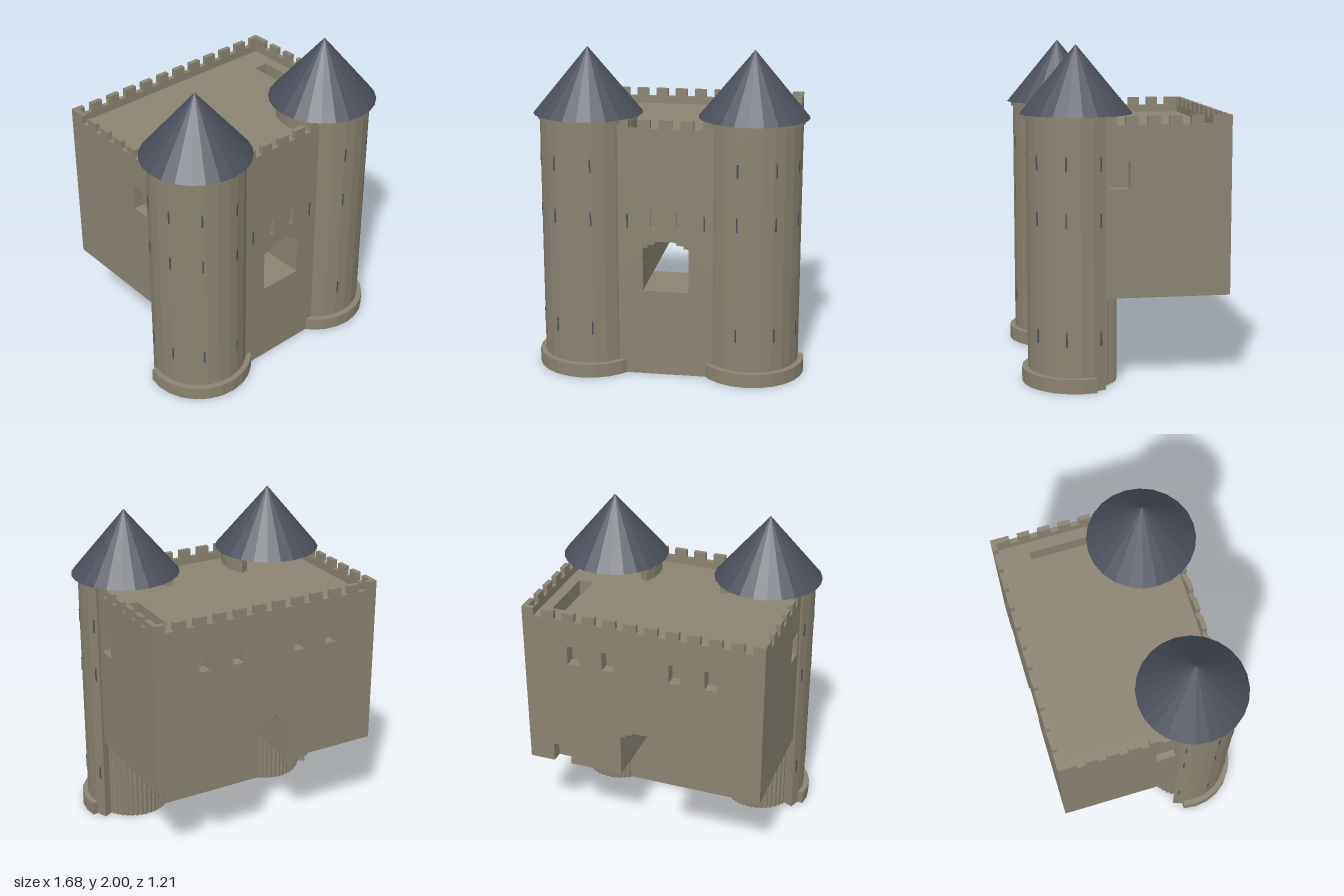
import * as THREE from 'three';

const stone = new THREE.MeshStandardMaterial({ color: 0x8b8372 });
stone.name = 'stone';
const slate = new THREE.MeshStandardMaterial({ color: 0x4a4f5b });
slate.name = 'slate';

// Main levels and tower placement
const FLOOR = 0.54, DECK = 1.5, TOP = 1.6;
const TX = 0.505, TZ = 0.27, R = 0.295, INNER = 0.24;
const rad = THREE.MathUtils.degToRad;

function add(parent, name, geometry, material, x = 0, y = 0, z = 0) {
  const mesh = new THREE.Mesh(geometry, material);
  mesh.name = name;
  mesh.position.set(x, y, z);
  parent.add(mesh);
  return mesh;
}

const polygon = (pts) => new THREE.Shape(pts.map(([x, y]) => new THREE.Vector2(x, y)));
const extrude = (shape, depth) => new THREE.ExtrudeGeometry(shape, { depth, bevelEnabled: false });
const rectHole = (x0, x1, y0, y1) =>
  new THREE.Path([[x0, y0], [x1, y0], [x1, y1], [x0, y1]].map(([x, y]) => new THREE.Vector2(x, y)));

// Stepped arch of the gate passage, from its left foot to its right foot
const archHalf = [[0.14, FLOOR], [0.14, 0.815], [0.11, 0.815], [0.11, 0.835], [0.07, 0.835], [0.06, 0.855]];
const arch = [...archHalf.map(([x, y]) => [-x, y]), ...archHalf.slice().reverse()];

// Wall slice across the building with the passage open at the bottom
function slice(halfWidth, bottomExtra = [], topExtra = []) {
  return polygon([[-halfWidth, FLOOR], ...arch, ...bottomExtra, [halfWidth, FLOOR],
    [halfWidth, DECK], ...topExtra, [-halfWidth, DECK]]);
}

// Parapet strip with square notches cut in its top
function parapet(u0, u1, centres) {
  const pts = [[u0, DECK], [u1, DECK], [u1, TOP]];
  for (const c of centres.slice().sort((a, b) => b - a))
    pts.push([c + 0.026, TOP], [c + 0.026, 1.548], [c - 0.026, 1.548], [c - 0.026, TOP]);
  pts.push([u0, TOP]);
  return extrude(polygon(pts), 0.03);
}

// Upright curved wall; angles run from the front (+z) towards the outer side s
function arcWall(s, r0, r1, a0, a1, height) {
  const n = Math.round((a1 - a0) / 15), pts = [];
  const at = (r, i) => {
    const a = rad(a0 + (a1 - a0) * i / n);
    return [s * r * Math.sin(a), -r * Math.cos(a)];
  };
  for (let i = 0; i <= n; i++) pts.push(at(r1, i));
  for (let i = n; i >= 0; i--) pts.push(at(r0, i));
  return extrude(polygon(pts), height).rotateX(-Math.PI / 2);
}

// Ribbed core of a tower
function ribbedCore(height) {
  const pts = [];
  for (let i = 0; i < 96; i++) {
    const a = i / 96 * Math.PI * 2, r = i % 2 ? INNER : INNER - 0.009;
    pts.push([r * Math.sin(a), r * Math.cos(a)]);
  }
  return extrude(polygon(pts), height).rotateX(-Math.PI / 2);
}

function buildTower(s) {
  const tower = new THREE.Group();
  tower.name = s > 0 ? 'leftTower' : 'rightTower';
  tower.position.set(s * TX, 0, TZ);
  add(tower, 'towerCore', ribbedCore(DECK - 0.002), stone);
  add(tower, 'towerShell', arcWall(s, INNER - 0.005, R, -118, 118, TOP), stone);
  add(tower, 'towerFoot', arcWall(s, R - 0.02, 0.33, -60, 104, 0.085), stone);
  add(tower, 'towerCornice', arcWall(s, R - 0.02, 0.306, -118, 118, 0.03), stone, 0, 1.571, 0);

  const cone = new THREE.ConeGeometry(0.333, 0.4, 24).toNonIndexed();
  cone.computeVertexNormals();
  add(tower, 'towerRoof', cone, slate, 0, 1.8, 0);

  // Arrow slits in three rows
  for (const y of [0.312, 1.005, 1.33])
    for (const deg of [-13, 33, 72, 112]) {
      const a = rad(deg) * s;
      const slit = add(tower, 'arrowSlit', new THREE.BoxGeometry(0.009, 0.085, 0.009), slate,
        Math.sin(a) * 0.2925, y, Math.cos(a) * 0.2925);
      slit.rotation.y = a;
    }
  return tower;
}

function buildKeep() {
  const keep = new THREE.Group();
  keep.name = 'keep';

  // Solid core in slices from back to front, with the stair well sunk in the deck
  const well = [[0.65, DECK], [0.65, 1.4], [0.555, 1.4], [0.555, DECK]];
  for (const [z0, z1, half, top] of [
    [-0.54, -0.4, 0.68, []], [-0.4, 0, 0.68, well], [0, 0.13, 0.68, []], [0.13, 0.44, 0.4, []],
  ]) add(keep, 'keepCore', extrude(slice(half, [], top), z1 - z0), stone, 0, 0, z0);

  // Back wall with four windows and a small doorway
  const back = slice(0.75, [[0.475, FLOOR], [0.475, 0.665], [0.59, 0.665], [0.59, FLOOR]]);
  for (const x of [-0.43, -0.21, 0.21, 0.43])
    back.holes.push(rectHole(x - 0.037, x + 0.037, 1.26, 1.38));
  add(keep, 'backWall', extrude(back, 0.07), stone, 0, 0, -0.61);

  // Front wall with two narrow windows and two slits
  const front = slice(0.33);
  for (const s of [-1, 1]) {
    front.holes.push(rectHole(s * 0.079 - 0.013, s * 0.079 + 0.013, 0.935, 1.05));
    add(keep, 'wallSlit', new THREE.BoxGeometry(0.009, 0.09, 0.009), slate, s * 0.234, 0.98, 0.468);
  }
  add(keep, 'frontWall', extrude(front, 0.03), stone, 0, 0, 0.44);

  // Side walls, each with one window beside the tower
  for (const s of [-1, 1]) {
    const side = polygon([[-0.15, FLOOR], [0.54, FLOOR], [0.54, DECK], [-0.15, DECK]]);
    side.holes.push(rectHole(-0.11, 0.015, 1.18, 1.34));
    add(keep, 'sideWall', extrude(side, 0.07).rotateY(Math.PI / 2), stone, s > 0 ? 0.68 : -0.75);
  }

  // Parapets
  const backNotches = Array.from({ length: 11 }, (_, i) => (i - 5) * 0.13);
  const sideNotches = [-0.04, 0.087, 0.215, 0.343, 0.47];
  add(keep, 'backParapet', parapet(-0.75, 0.75, backNotches), stone, 0, 0, -0.61);
  add(keep, 'frontParapet', parapet(-0.33, 0.33, [-0.195, -0.065, 0.065, 0.195]), stone, 0, 0, 0.44);
  for (const x of [-0.75, 0.72])
    add(keep, 'sideParapet', parapet(-0.15, 0.58, sideNotches).rotateY(Math.PI / 2), stone, x);

  // Lower gatehouse between the towers
  add(keep, 'gatehouseBase', new THREE.BoxGeometry(0.8, FLOOR, 0.38), stone, 0, FLOOR / 2, 0.28);
  return keep;
}

export function createModel() {
  const castle = new THREE.Group();
  castle.name = 'castleGatehouse';
  castle.add(buildKeep(), buildTower(1), buildTower(-1));
  return castle;
}
